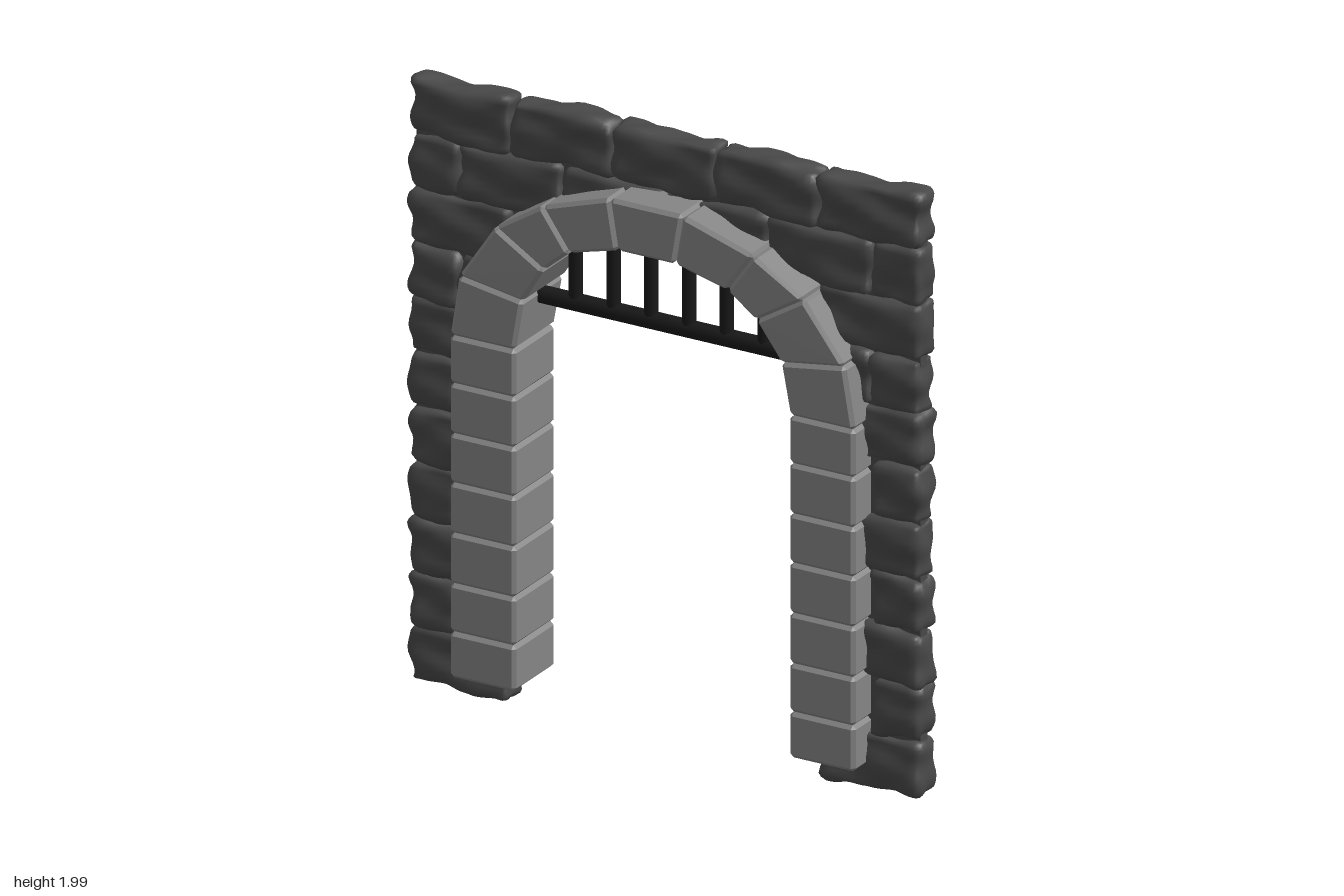
import * as THREE from 'three';
import { mergeVertices } from 'three/addons/utils/BufferGeometryUtils.js';
import { ConvexGeometry } from 'three/addons/geometries/ConvexGeometry.js';

const rockMat = new THREE.MeshStandardMaterial({ color: 0x484848 });
const trimMat = new THREE.MeshStandardMaterial({ color: 0x858585 });
const ironMat = new THREE.MeshStandardMaterial({ color: 0x181818 });

function add(parent, name, geometry, material) {
  const mesh = new THREE.Mesh(geometry, material);
  mesh.name = name;
  parent.add(mesh);
  return mesh;
}

// Smooth bumps, stretched sideways like weathered rock
function bumps(p, s) {
  return 0.006 * Math.sin(p.x * 17 + s * 2.1 + 2 * Math.sin(p.y * 19 + s))
    + 0.005 * Math.sin(p.y * 52 + p.x * 13 + s * 3.7)
    + 0.004 * Math.sin(p.z * 60 + p.x * 38 - p.y * 30 + s * 1.3);
}

// Rounded, uneven stone filling the rectangle x0..x1, y0..y1
function rockGeometry(x0, x1, y0, y1, seed) {
  const w = x1 - x0, h = y1 - y0, d = 0.106, r = 0.026;
  const box = new THREE.BoxGeometry(w, h, d, Math.round(w / 0.018), 10, 6);
  box.deleteAttribute('uv');
  box.deleteAttribute('normal');
  const geo = mergeVertices(box);
  const pos = geo.attributes.position;
  const p = new THREE.Vector3(), q = new THREE.Vector3();
  const hi = new THREE.Vector3(w / 2 - r, h / 2 - r, d / 2 - r), lo = hi.clone().negate();
  for (let i = 0; i < pos.count; i++) {
    p.fromBufferAttribute(pos, i);
    q.copy(p).clamp(lo, hi);
    const dir = p.clone().sub(q).normalize();
    q.addScaledVector(dir, r + bumps(p, seed));
    pos.setXYZ(i, q.x + (x0 + x1) / 2, q.y + (y0 + y1) / 2, q.z);
  }
  geo.computeVertexNormals();
  return geo;
}

// Chamfered block: four outline points [x, y, halfDepth] in loop order
function blockGeometry(outline, bevel = 0.012) {
  const corner = (i, s) => {
    const [x, y, z] = outline[(i + 4) % 4];
    return new THREE.Vector3(x, y, z * s);
  };
  const points = [];
  for (let i = 0; i < 4; i++) for (const s of [-1, 1]) {
    const c = corner(i, s);
    const e = [corner(i + 1, s), corner(i - 1, s), corner(i, -s)]
      .map(n => n.sub(c).normalize().multiplyScalar(bevel));
    for (const [a, b] of [[0, 1], [1, 2], [0, 2]]) points.push(c.clone().add(e[a]).add(e[b]));
  }
  return new ConvexGeometry(points);
}

export function createModel() {
  const model = new THREE.Group();
  model.name = 'stoneGateway';

  // Rough wall: eleven courses in running bond
  const wall = new THREE.Group();
  wall.name = 'wall';
  model.add(wall);
  const rowH = 0.179, base = 0.014;
  let seed = 1;
  const rock = (x0, x1, row) =>
    add(wall, 'wallStone', rockGeometry(x0, x1, base + row * rowH, base + (row + 1) * rowH, seed++), rockMat);
  for (let row = 0; row < 10; row++) {
    for (const side of [-1, 1]) {
      const span = (a, b) => rock(Math.min(a * side, b * side), Math.max(a * side, b * side), row);
      if (row % 2 === 0) span(0.545, 0.892);
      else span(0.72, 0.892);
      if (row === 7) span(0.56, 0.72);
      if (row === 9) { span(0.36, 0.72); span(0, 0.36); }
    }
  }
  const capJoints = [-0.892, -0.54, -0.185, 0.175, 0.53, 0.892];
  for (let i = 0; i < 5; i++) rock(capJoints[i], capJoints[i + 1], 10);

  // Thin mortar core behind the joints
  const core = new THREE.Shape();
  core.moveTo(-0.88, 0.1);
  core.lineTo(-0.6, 0.1);
  core.lineTo(-0.6, 1.2);
  core.absellipse(0, 1.2, 0.6, 0.51, Math.PI, 0, true);
  core.lineTo(0.6, 0.1);
  core.lineTo(0.88, 0.1);
  core.lineTo(0.88, 1.85);
  core.lineTo(-0.88, 1.85);
  const coreGeo = new THREE.ExtrudeGeometry(core, { depth: 0.04, bevelEnabled: false, curveSegments: 24 });
  coreGeo.translate(0, 0, -0.02);
  add(wall, 'mortarCore', coreGeo, rockMat);

  // Dressed jamb blocks
  const arch = new THREE.Group();
  arch.name = 'arch';
  model.add(arch);
  const joints = [0.09, 0.24, 0.398, 0.563, 0.727, 0.888, 1.052, 1.208];
  for (const side of [-1, 1]) for (let i = 0; i < 7; i++) {
    const a = 0.478 * side, b = 0.708 * side, y0 = joints[i], y1 = joints[i + 1];
    add(arch, 'jambBlock', blockGeometry([[a, y0, 0.12], [b, y0, 0.12], [b, y1, 0.12], [a, y1, 0.12]]), trimMat);
  }

  // Voussoir joints, spring to crown: inner x, y, outer x, y, half depth
  const cuts = [
    [0.48, 1.208, 0.708, 1.208, 0.12],
    [0.45, 1.375, 0.675, 1.41, 0.123],
    [0.37, 1.50, 0.54, 1.605, 0.136],
    [0.275, 1.58, 0.37, 1.715, 0.146],
    [0.10, 1.63, 0.128, 1.797, 0.156],
  ];
  const voussoir = (name, a, b) => add(arch, name, blockGeometry([
    [a[0], a[1], a[4]], [a[2], a[3], a[4]], [b[2], b[3], b[4]], [b[0], b[1], b[4]],
  ]), trimMat);
  const flip = c => [-c[0], c[1], -c[2], c[3], c[4]];
  for (let i = 0; i < 4; i++) {
    voussoir('archBlock', cuts[i], cuts[i + 1]);
    voussoir('archBlock', flip(cuts[i]), flip(cuts[i + 1]));
  }
  voussoir('keystone', cuts[4], flip(cuts[4]));

  // Iron grille under the crown
  const grille = new THREE.Group();
  grille.name = 'grille';
  model.add(grille);
  const rail = add(grille, 'crossRail', new THREE.CylinderGeometry(0.028, 0.028, 0.95, 16), ironMat);
  rail.rotation.z = Math.PI / 2;
  rail.position.y = 1.356;
  for (let i = 0; i < 6; i++) {
    const x = -0.336 + i * 0.132;
    const top = 1.67 - 0.8 * x * x;
    const bar = add(grille, 'verticalBar', new THREE.CylinderGeometry(0.022, 0.022, top - 1.356, 16), ironMat);
    bar.position.set(x, (top + 1.356) / 2, 0);
  }
  return model;
}
